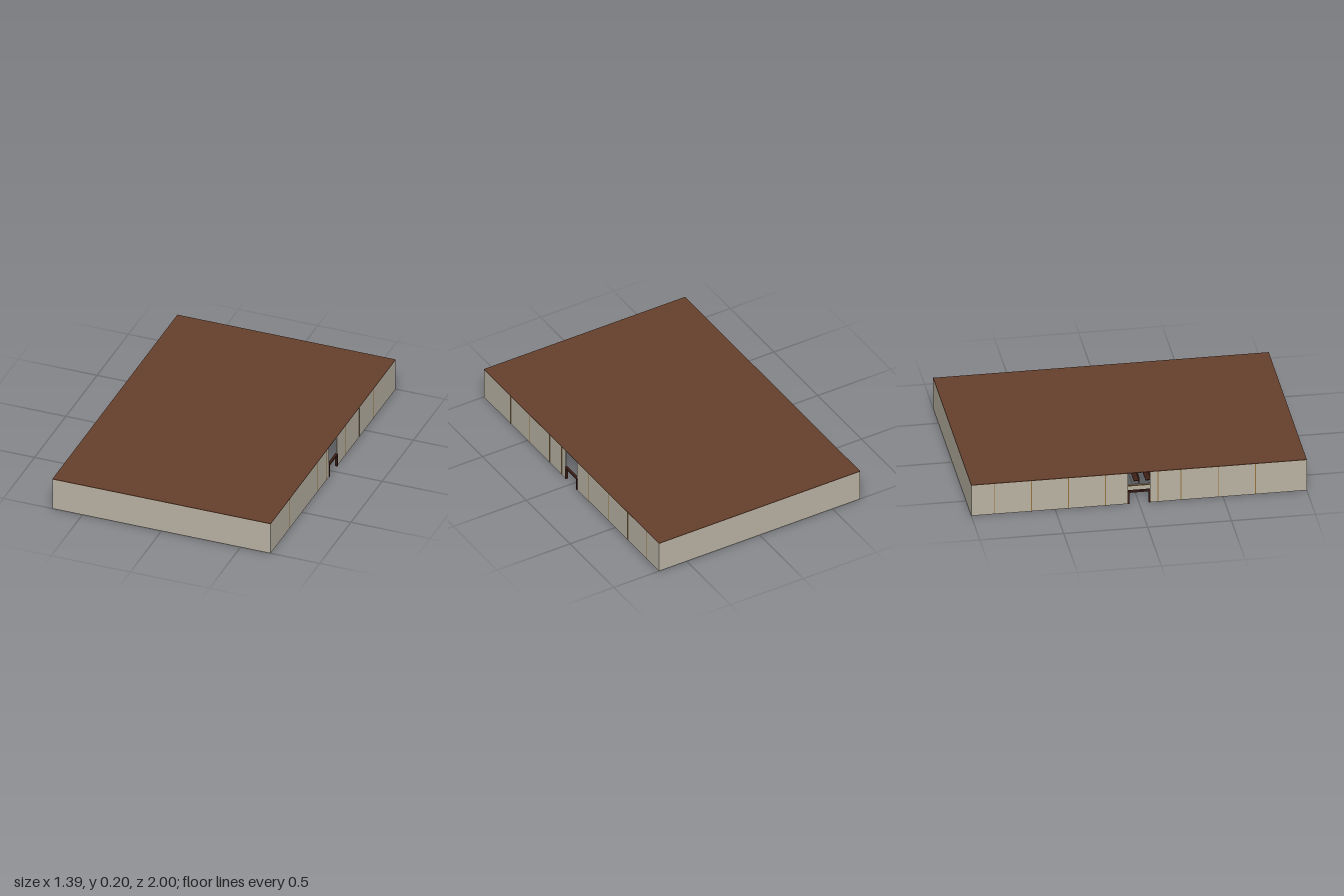
import * as THREE from 'three';

const mat = (name, color) => {
  const m = new THREE.MeshStandardMaterial({ color });
  m.name = name;
  return m;
};

export function createModel() {
  const hall = new THREE.Group();
  hall.name = 'hall';
  const plaster = mat('plaster', 0xb9b2a3);
  const wood = mat('brown wood', 0x66402c);
  const darkWood = mat('dark wood', 0x3f2118);
  const brass = mat('tan trim', 0x94723c);
  const carpet = mat('grey carpet', 0x77746e);
  const screen = mat('dark teal', 0x22343a);
  const black = mat('black', 0x1c1c1e);

  // Box given by its low and high limits on each axis
  const box = (name, material, [x0, x1], [y0, y1], [z0, z1], parent = hall) => {
    const mesh = new THREE.Mesh(new THREE.BoxGeometry(x1 - x0, y1 - y0, z1 - z0), material);
    mesh.position.set((x0 + x1) / 2, (y0 + y1) / 2, (z0 + z1) / 2);
    mesh.name = name;
    parent.add(mesh);
    return mesh;
  };
  // The same box on both sides of x = 0
  const pair = (name, material, [x0, x1], y, z) => {
    box(name + 'Left', material, [x0, x1], y, z);
    box(name + 'Right', material, [-x1, -x0], y, z);
  };

  const X = 0.69, H = 0.2, T = 0.006, D = 0.065;

  // Roof and end walls
  box('roof', wood, [-X, X], [H, H + 0.004], [-1, 1]);
  box('frontWall', plaster, [-X, X], [0, H], [1 - T, 1]);
  box('backWall', plaster, [-X, X], [0, H], [-1, T - 1]);

  // Side walls, open to the roof at the doorway
  pair('sideWallFront', plaster, [X - T, X], [0, H], [D, 1 - T]);
  pair('sideWallBack', plaster, [X - T, X], [0, H], [T - 1, -D]);

  // Wall panel seams, visible on both wall faces
  for (const z of [0.695, 0.25, 0.113, -0.2, -0.42, -0.64]) {
    pair('wallSeam', brass, [X - T - 0.001, X + 0.0005], [0, H], [z - 0.003, z + 0.003]);
  }
  for (const z of [0.475, -0.86]) {
    pair('thinSeam', brass, [X - T - 0.001, X + 0.0005], [0, H], [z - 0.001, z + 0.001]);
  }

  // Doorway frames
  for (const s of [-1, 1]) {
    const z = s * (D - 0.002);
    pair('doorPost', darkWood, [X - 0.012, X + 0.003], [0, 0.085], [z - 0.005, z + 0.005]);
  }
  pair('doorLintel', darkWood, [X - 0.012, X + 0.003], [0.074, 0.085], [-D, D]);

  // Inner wall doors with a darker frame
  for (const z of [0.15, -0.18, -0.53]) {
    pair('innerDoorFrame', darkWood, [X - T - 0.006, X - T], [0, 0.13], [z - 0.042, z + 0.042]);
    pair('innerDoor', wood, [X - T - 0.009, X - T - 0.006], [0.002, 0.122], [z - 0.034, z + 0.034]);
  }

  // Carpet aisles: side aisles, rear aisle, middle aisle
  const aisleY = [0, 0.003];
  pair('sideAisle', carpet, [0.45, 0.54], aisleY, [-0.5, 0.41]);
  box('rearAisle', carpet, [-0.54, 0.54], aisleY, [0.41, 0.53]);
  box('middleAisle', carpet, [-0.045, 0.045], aisleY, [-0.5, 0.41]);

  // Low side partitions
  pair('partition', plaster, [0.54, 0.546], [0, 0.04], [-0.1, 0.53]);
  pair('partitionCap', brass, [0.538, 0.548], [0.04, 0.043], [-0.1, 0.53]);

  // Rows of benches on both sides of the middle aisle
  for (let i = 0; i < 13; i++) {
    const z = -0.48 + i * 0.07;
    pair('benchSeat', darkWood, [0.055, 0.44], [0.014, 0.018], [z, z + 0.03]);
    pair('benchBack', wood, [0.055, 0.44], [0, 0.035], [z + 0.03, z + 0.034]);
  }

  // Steps towards the screen
  for (let i = 0; i < 3; i++) {
    const z = -0.58 - i * 0.06;
    box('step', darkWood, [-0.6, 0.6], [0, 0.005 + i * 0.004], [z - 0.008, z]);
  }

  // Framed screen
  box('screenPanel', screen, [-0.34, 0.34], [0.02, 0.18], [-0.785, -0.775]);
  box('screenFrameBottom', wood, [-0.355, 0.355], [0.005, 0.02], [-0.79, -0.77]);
  box('screenFrameTop', wood, [-0.355, 0.355], [0.18, 0.195], [-0.79, -0.77]);
  pair('screenFrameSide', wood, [0.34, 0.355], [0.02, 0.18], [-0.79, -0.77]);

  // Control booth at the rear, with a gap for entry
  const booth = new THREE.Group();
  booth.name = 'booth';
  hall.add(booth);
  box('boothRear', wood, [-0.13, 0.13], [0, 0.07], [0.894, 0.9], booth);
  for (const s of [-1, 1]) {
    const side = s < 0 ? [-0.13, -0.124] : [0.124, 0.13];
    const wing = s < 0 ? [-0.13, -0.07] : [0.07, 0.13];
    box('boothSide', wood, side, [0, 0.07], [0.68, 0.9], booth);
    box('boothFront', wood, wing, [0, 0.07], [0.68, 0.686], booth);
  }
  box('boothDesk', carpet, [-0.08, 0.08], [0.04, 0.046], [0.78, 0.85], booth);
  for (let i = 0; i < 4; i++) {
    box('boothDevice', black, [-0.07 + i * 0.038, -0.045 + i * 0.038], [0.046, 0.06], [0.8, 0.83], booth);
  }

  // Rear wall shelf with items, and a wall clock
  box('shelf', darkWood, [-0.58, -0.35], [0.11, 0.125], [0.965, 1 - T]);
  for (const x of [-0.52, -0.48, -0.44]) {
    box('shelfItem', carpet, [x, x + 0.022], [0.125, 0.15], [0.97, 0.99]);
  }
  const clock = new THREE.Mesh(new THREE.CylinderGeometry(0.026, 0.026, 0.008, 24), black);
  clock.name = 'wallClock';
  clock.rotation.x = Math.PI / 2;
  clock.position.set(0.44, 0.11, 0.99);
  hall.add(clock);

  return hall;
}
